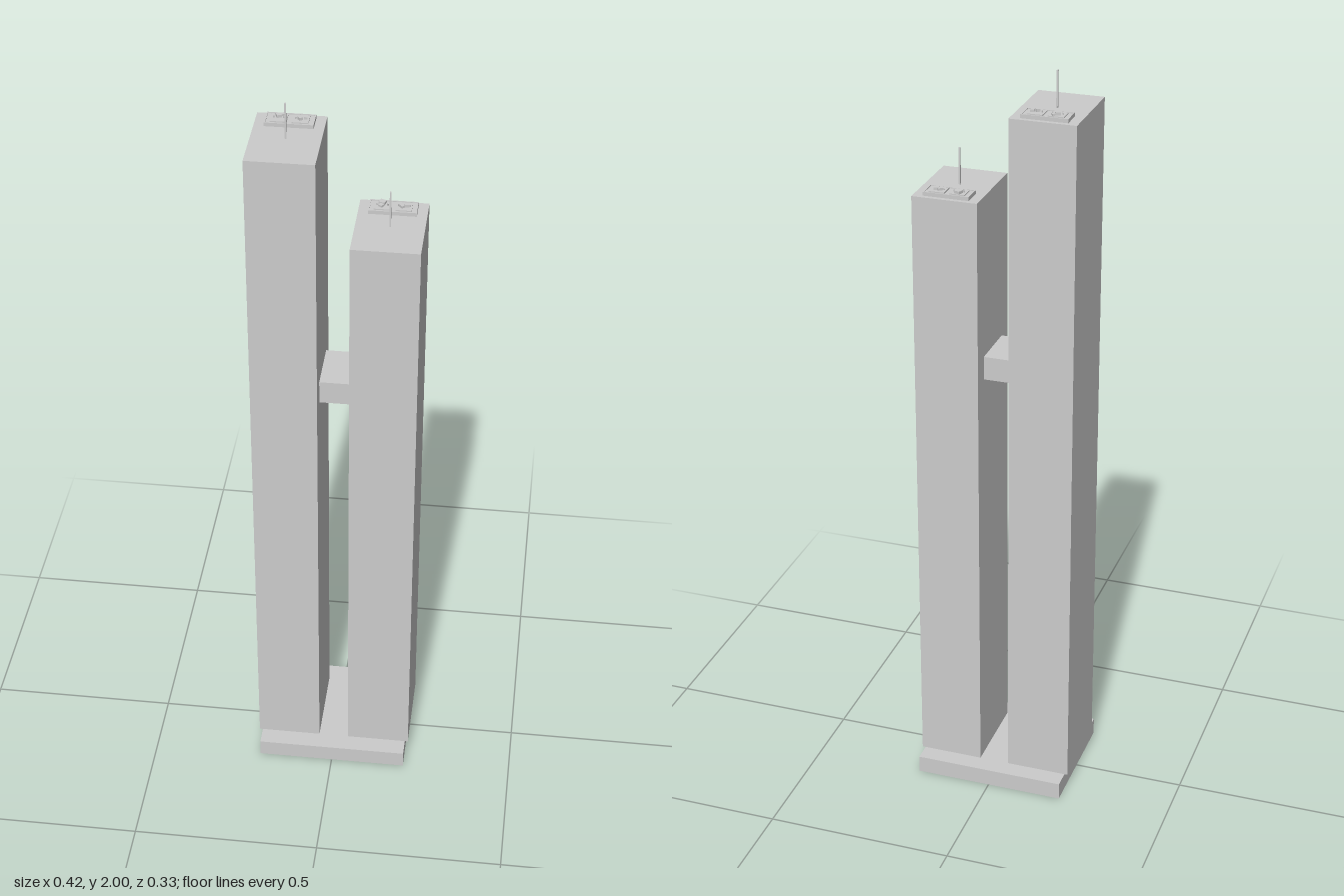
import * as THREE from 'three';

const concrete = new THREE.MeshStandardMaterial({ color: 0xcccccc, side: THREE.DoubleSide });
concrete.name = 'concrete grey';

// Box standing on y, centred on x and z
function box(parent, name, w, h, d, x, y, z, turn = 0) {
  const mesh = new THREE.Mesh(new THREE.BoxGeometry(w, h, d), concrete);
  mesh.name = name;
  mesh.position.set(x, y + h / 2, z);
  mesh.rotation.y = turn;
  parent.add(mesh);
  return mesh;
}

// Rooftop plant: slab with a thin rim, two pads, vents and turned units
function roofPlant(pads) {
  const plant = new THREE.Group();
  plant.name = 'roofPlant';
  const w = 0.12, d = 0.053, rim = 0.003;
  box(plant, 'plantSlab', w, 0.008, d, 0, 0, 0);
  for (const s of [-1, 1]) {
    box(plant, 'plantRim', w, 0.01, rim, 0, 0, s * (d - rim) / 2);
    box(plant, 'plantRim', rim, 0.01, d - 2 * rim, s * (w - rim) / 2, 0, 0);
  }
  pads.forEach((units, i) => {
    const px = i ? 0.0265 : -0.0265;
    const deck = box(plant, 'plantPad', 0.04, 0.003, 0.038, px, 0.008, 0);
    deck.name = 'plantPad';
    for (const s of [-1, 1]) {
      const vent = new THREE.Mesh(new THREE.CylinderGeometry(0.002, 0.002, 0.005, 8), concrete);
      vent.name = 'vent';
      vent.position.set(px + s * 0.013, 0.0135, 0);
      plant.add(vent);
    }
    for (const [x, z, size, h, turn] of units) {
      box(plant, 'coolingUnit', size, h, size * 0.9, px + x, 0.011, z, turn);
    }
  });
  return plant;
}

// Tower with its roof plant and mast
function tower(name, x, top, mastTop, pads) {
  const g = new THREE.Group();
  g.name = name;
  box(g, 'shaft', 0.171, top - 0.047, 0.232, x, 0.047, 0);
  box(g, 'mast', 0.004, mastTop - top, 0.005, x, top, 0);
  const plant = roofPlant(pads);
  plant.position.set(x, top, -0.0775);
  g.add(plant);
  return g;
}

export function createModel() {
  const model = new THREE.Group();
  model.name = 'twinTowers';

  // Plinth: a shell open underneath (bottom face dropped)
  const plinth = box(model, 'plinth', 0.406, 0.047, 0.332, 0, 0, 0);
  const index = Array.from(plinth.geometry.index.array);
  index.splice(18, 6);
  plinth.geometry.setIndex(index);
  plinth.geometry.clearGroups();

  // Units per pad: x, z, size, height, turn
  model.add(tower('tallTower', -0.126, 1.906, 2, [
    [-0.001, -0.005, 0.013, 0.007, 0.4], [0.007, -0.012, 0.009, 0.005, 0.5]]
    .map(u => [u]).reduce((a, u) => [[...a[0], ...u], a[1]],
      [[], [[-0.001, 0.004, 0.01, 0.007, 0.6], [0.011, -0.002, 0.009, 0.006, 0.1]]])));
  model.add(tower('shortTower', 0.126, 1.68, 1.777, [
    [[-0.001, -0.009, 0.016, 0.007, -0.35], [-0.003, 0.005, 0.011, 0.005, -0.6]],
    [[-0.003, 0, 0.016, 0.006, 0.7], [0.006, -0.002, 0.013, 0.007, 0.25]],
  ]));

  // Sky bridge between the shafts
  box(model, 'skyBridge', 0.082, 0.063, 0.141, 0, 1.187, 0);
  return model;
}
